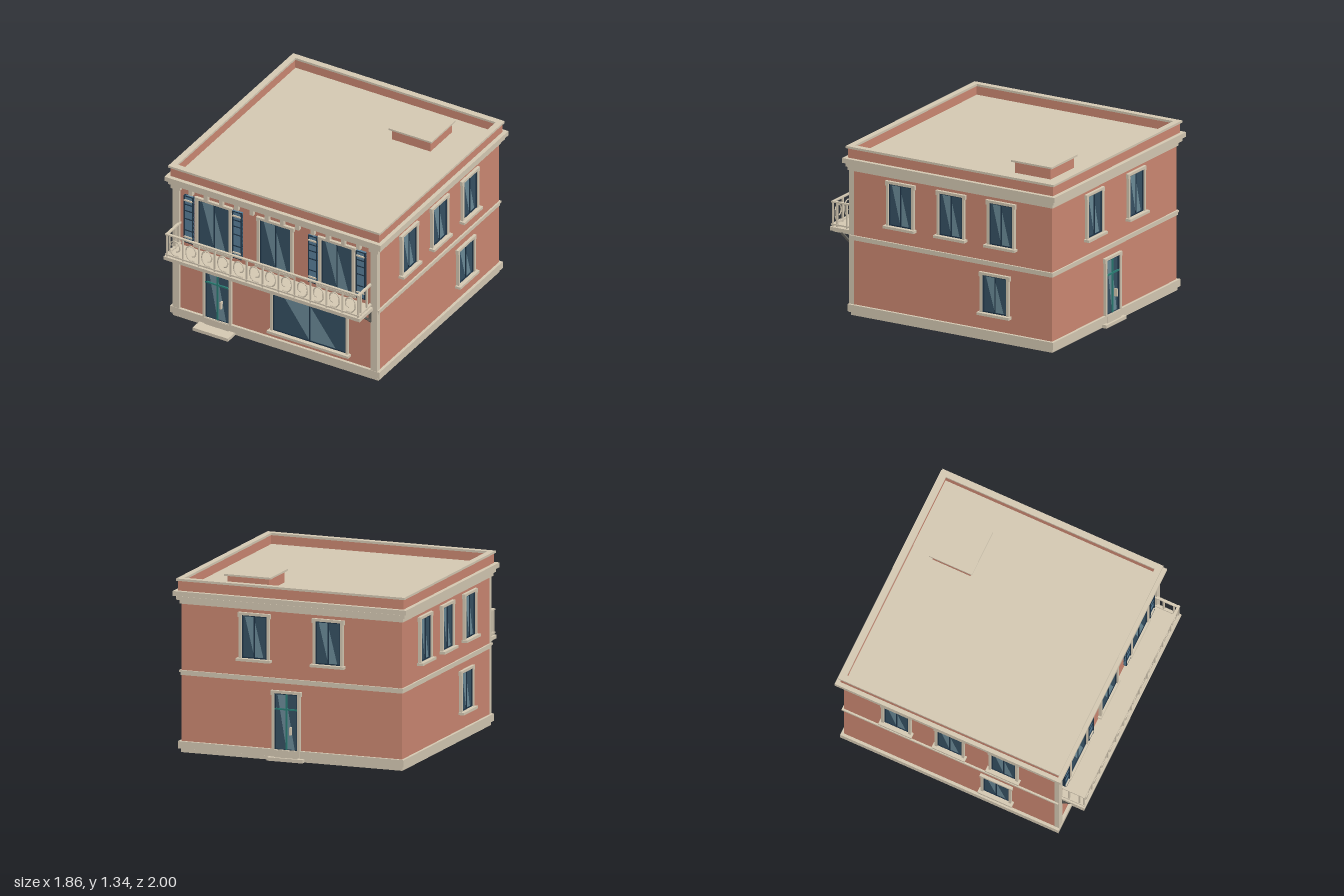
import * as THREE from 'three';

const mat = (color, extra = {}) => new THREE.MeshStandardMaterial({ color, ...extra });
const wall = mat(0xcc8872), cream = mat(0xd5c9b3), navy = mat(0x1f3548), glass = mat(0x365163);
const shine = mat(0x6b8b98), blue = mat(0x5a819b), teal = mat(0x2a7f76), iron = mat(0x5f5d58);
const HX = 0.88, HZ = 0.87, CZ = -0.08; // half sizes and centre of the house body

// Box given by its minimum and maximum on each axis
function box(parent, name, m, x0, x1, y0, y1, z0, z1) {
  const mesh = new THREE.Mesh(new THREE.BoxGeometry(x1 - x0, y1 - y0, z1 - z0), m);
  mesh.position.set((x0 + x1) / 2, (y0 + y1) / 2, (z0 + z1) / 2);
  mesh.name = name;
  parent.add(mesh);
  return mesh;
}

// Solid horizontal layer running round the house, projecting by o
const course = (parent, name, m, o, y0, y1) =>
  box(parent, name, m, -HX - o, HX + o, y0, y1, CZ - HZ - o, CZ + HZ + o);

// Open rectangular ring, from inner offset a to outer offset b
function ring(parent, name, m, a, b, y0, y1) {
  const rect = (T, o) => new T([[-1, -1], [1, -1], [1, 1], [-1, 1]].map(
    ([i, j]) => new THREE.Vector2(i * (HX + o), j * (HZ + o))));
  const s = rect(THREE.Shape, b);
  s.holes.push(rect(THREE.Path, a));
  const g = new THREE.ExtrudeGeometry(s, { depth: y1 - y0, bevelEnabled: false });
  const mesh = new THREE.Mesh(g.rotateX(-Math.PI / 2), m);
  mesh.position.set(0, y0, CZ);
  mesh.name = name;
  parent.add(mesh);
}

// Glass pane with a slanted reflection and a dark frame
function pane(g, x0, x1, y0, y1) {
  const w = x1 - x0, t = 0.009, c = (x0 + x1) / 2;
  box(g, 'glass', glass, x0, x1, y0, y1, -0.01, 0.004);
  const s = new THREE.Shape([[0.5, y0], [0.86, y0], [0.45, y1], [0.1, y1]].map(
    ([f, y]) => new THREE.Vector2(x0 + f * w, y)));
  const streak = new THREE.Mesh(new THREE.ShapeGeometry(s), shine);
  streak.position.z = 0.006;
  streak.name = 'reflection';
  g.add(streak);
  for (const x of [x0, x1 - t, c - t / 2]) box(g, 'sash', navy, x, x + t, y0, y1, 0, 0.012);
  for (const y of [y0, y1 - t]) box(g, 'sash', navy, x0, x1, y, y + t, 0, 0.0115);
}

// Cream surround with wider ears at the top
function surround(g, x0, x1, y0, y1) {
  const t = 0.02;
  box(g, 'jamb', cream, x0 - t, x0, y0, y1, -0.01, 0.023);
  box(g, 'jamb', cream, x1, x1 + t, y0, y1, -0.01, 0.023);
  box(g, 'lintel', cream, x0 - t, x1 + t, y1, y1 + t, -0.01, 0.023);
  for (const [a, b] of [[x0 - t - 0.008, x0 - t], [x1 + t, x1 + t + 0.008]])
    box(g, 'ear', cream, a, b, y1 - 0.015, y1 + t, -0.01, 0.023);
}

function windowUnit(face, c, w, y0, y1, sillOut = 0.045) {
  const g = new THREE.Group(), x0 = c - w / 2, x1 = c + w / 2;
  g.name = 'window';
  pane(g, x0, x1, y0, y1);
  surround(g, x0, x1, y0, y1);
  box(g, 'sill', cream, x0 - 0.035, x1 + 0.035, y0 - 0.02, y0, -0.01, sillOut);
  face.add(g);
}

function doorUnit(face, c, w, stepOut) {
  const g = new THREE.Group(), x0 = c - w / 2, x1 = c + w / 2, y0 = 0.08, y1 = 0.51;
  g.name = 'door';
  pane(g, x0, x1, y0, y1);
  surround(g, x0, x1, 0.03, y1);
  box(g, 'threshold', cream, x0, x1, 0.02, y0, -0.01, 0.026);
  box(g, 'doorMullion', teal, c - 0.006, c + 0.006, y0, y1, 0, 0.015);
  box(g, 'doorTransom', teal, x0, x1, 0.385, 0.397, 0, 0.015);
  box(g, 'doorHandle', cream, c + 0.03, c + 0.042, 0.2, 0.26, 0, 0.03);
  box(g, 'step', cream, c - w / 2 - 0.05, c + w / 2 + 0.05, 0, 0.026, -0.01, stepOut);
  face.add(g);
}

function shutter(face, c) {
  const g = new THREE.Group();
  g.name = 'shutter';
  const a = c - 0.04, b = c + 0.04;
  box(g, 'shutterPanel', blue, a, b, 0.685, 1.095, 0, 0.018);
  for (const x of [a, b - 0.008]) box(g, 'shutterStile', navy, x, x + 0.008, 0.685, 1.095, 0, 0.024);
  for (const y of [0.685, 0.79, 0.89, 0.96, 1.015, 1.088])
    box(g, 'shutterRail', navy, a, b, y, y + 0.007, 0, 0.023);
  for (const y of [0.73, 1.05]) box(g, 'shutterSlat', cream, a + 0.004, b - 0.004, y, y + 0.011, 0, 0.028);
  face.add(g);
}

function balcony() {
  const g = new THREE.Group(), X = 0.825, Z = 0.985, r = 0.006;
  g.name = 'balcony';
  box(g, 'balconySlab', cream, -0.845, 0.845, 0.612, 0.64, 0.78, 1.0);
  box(g, 'slabMoulding', cream, -0.825, 0.825, 0.6, 0.612, 0.78, 0.98);
  for (const y of [0.658, 0.833]) {
    box(g, 'frontRail', cream, -X - 0.012, X + 0.012, y - r, y + r, Z - 0.01, Z + 0.01);
    for (const x of [-X, X]) box(g, 'sideRail', cream, x - 0.01, x + 0.01, y - r, y + r, 0.79, Z);
  }
  const post = (x, z) => box(g, 'railingPost', cream, x - r, x + r, 0.64, 0.833, z - r, z + r);
  // Curled ironwork between the posts, mirrored about the middle
  const points = [[-0.035, -0.078], [0.01, -0.076], [0.037, -0.045], [0.042, 0], [0.03, 0.033],
    [0, 0.047], [-0.03, 0.033], [-0.042, 0], [-0.033, -0.032], [-0.01, -0.04]];
  const scroll = (s) => new THREE.TubeGeometry(new THREE.CatmullRomCurve3(
    points.map(([x, y]) => new THREE.Vector3(x * s, y, 0))), 32, 0.005, 6);
  for (let i = 0; i <= 12; i++) {
    const x = -X + i * X / 6;
    post(x, Z);
    if (i === 12) break;
    const curl = new THREE.Mesh(scroll(i < 6 ? -1 : 1), cream);
    curl.position.set(x + X / 12, 0.745, Z);
    curl.name = 'railingScroll';
    g.add(curl);
  }
  for (const x of [-X, X]) {
    for (const z of [0.95, 0.865]) post(x, z);
    // Wall bracket with a diagonal strut
    box(g, 'bracketPlate', iron, x - 0.01, x + 0.01, 0.51, 0.602, 0.79, 0.82);
    const strut = box(g, 'bracketStrut', iron, x - 0.008, x + 0.008, -0.008, 0.008, -0.065, 0.065);
    strut.position.set(x, 0.563, 0.862);
    strut.rotation.x = -0.7;
  }
  return g;
}

export function createModel() {
  const model = new THREE.Group();
  model.name = 'house';

  // Body and horizontal mouldings
  course(model, 'groundCourse', cream, 0.005, 0, 0.026);
  course(model, 'plinth', cream, 0.022, 0.03, 0.085);
  course(model, 'walls', wall, 0, 0.02, 1.19);
  course(model, 'floorBand', cream, 0.008, 0.585, 0.606);
  course(model, 'floorBandTop', cream, 0.014, 0.606, 0.622);
  course(model, 'lowerCornice', cream, 0.033, 1.157, 1.183);
  course(model, 'upperCornice', cream, 0.052, 1.188, 1.225);
  // Frieze on the sides and back
  box(model, 'frieze', cream, -HX - 0.012, HX + 0.012, 1.125, 1.16, -0.962, 0.785);

  // Parapet and roof hatch
  course(model, 'roofDeck', cream, -0.02, 1.22, 1.235);
  ring(model, 'parapet', wall, -0.012, 0.02, 1.22, 1.3);
  ring(model, 'parapetCap', cream, -0.017, 0.032, 1.3, 1.317);
  box(model, 'roofHatch', wall, 0.26, 0.59, 1.23, 1.322, -0.76, -0.45);
  box(model, 'hatchLid', cream, 0.24, 0.61, 1.322, 1.336, -0.78, -0.43);

  // One group per wall, with local z pointing outwards
  const face = (name, x, z, turn) => {
    const g = new THREE.Group();
    g.name = name;
    g.position.set(x, 0, z);
    g.rotation.y = turn;
    model.add(g);
    return g;
  };
  const front = face('frontWall', 0, CZ + HZ, 0);
  const back = face('backWall', 0, CZ - HZ, Math.PI);
  const left = face('leftWall', HX, 0, Math.PI / 2);
  const right = face('rightWall', -HX, 0, -Math.PI / 2);

  // Front wall
  for (const s of [-1, 1]) {
    const a = s * 0.825, b = s * 0.882;
    box(front, 'cornerPilaster', cream, Math.min(a, b), Math.max(a, b), 0.02, 1.16, -0.02, 0.02);
    const c = s * 0.853;
    box(front, 'pilasterCapital', cream, c - 0.04, c + 0.04, 1.125, 1.16, -0.02, 0.028);
  }
  for (let i = 0; i < 12; i++) {
    const x = -0.722 + i * 0.1313;
    box(front, 'corniceBracket', cream, x - 0.016, x + 0.016, 1.112, 1.16, 0, 0.03);
  }
  for (const x of [-0.53, 0, 0.53]) windowUnit(front, x, 0.268, 0.695, 1.088, 0.03);
  for (const x of [-0.745, -0.327, 0.327, 0.74]) shutter(front, x);
  windowUnit(front, 0.295, 0.63, 0.155, 0.51);
  doorUnit(front, -0.5, 0.205, 0.115);
  box(front, 'doorCanopy', cream, -0.665, -0.33, 0.545, 0.566, 0, 0.115);
  box(front, 'canopyMoulding', cream, -0.645, -0.35, 0.53, 0.545, 0, 0.04);
  model.add(balcony());

  // Side and back walls
  for (const z of [0.36, -0.08, -0.515]) {
    windowUnit(left, -z, 0.2, 0.755, 1.08);
    windowUnit(right, z, 0.2, 0.755, 1.08);
  }
  windowUnit(left, 0.46, 0.21, 0.22, 0.51);
  windowUnit(right, 0.3, 0.21, 0.22, 0.51);
  for (const x of [-0.295, 0.295]) windowUnit(back, x, 0.2, 0.755, 1.08);
  doorUnit(back, -0.04, 0.185, 0.045);
  return model;
}
